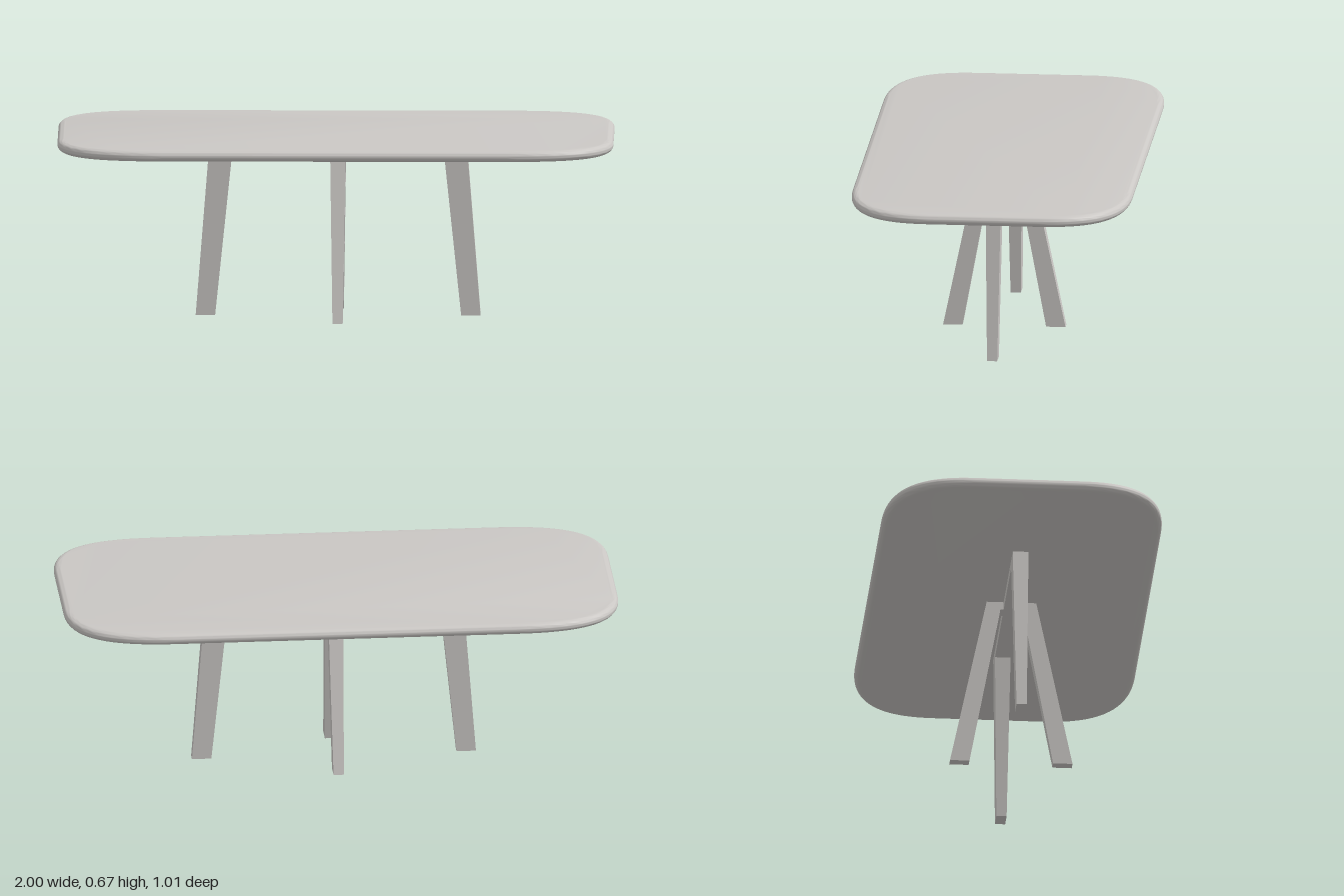
import * as THREE from 'three';
import { toCreasedNormals } from 'three/addons/utils/BufferGeometryUtils.js';

const LEG_TOP = 0.63, BEAM_BOTTOM = 0.6;

// Rounded slab with soft, nearly square corners and a bullnose edge
function tabletopGeometry() {
  const w = 1, d = 0.505, sx = 0.62, sz = 0.2, hx = 0.85, hz = 0.43;
  const s = new THREE.Shape();
  s.moveTo(sx, -d);
  s.bezierCurveTo(hx, -d, w, -hz, w, -sz);
  s.lineTo(w, sz);
  s.bezierCurveTo(w, hz, hx, d, sx, d);
  s.lineTo(-sx, d);
  s.bezierCurveTo(-hx, d, -w, hz, -w, sz);
  s.lineTo(-w, -sz);
  s.bezierCurveTo(-w, -hz, -hx, -d, -sx, -d);
  s.closePath();
  const g = new THREE.ExtrudeGeometry(s, {
    depth: 0.002, curveSegments: 18, bevelEnabled: true,
    bevelThickness: 0.019, bevelSize: 0.024, bevelOffset: -0.024, bevelSegments: 8,
  });
  g.rotateX(-Math.PI / 2).translate(0, 0.647, 0);
  return toCreasedNormals(g, 0.6);
}

// Two splayed legs joined by a beam, thinning in depth towards the floor
function legFrameGeometry(outerTop, outerFoot, innerFoot, innerTop) {
  const right = [[outerFoot, 0], [outerTop, LEG_TOP]];
  const left = [[-outerTop, LEG_TOP], [-outerFoot, 0], [-innerFoot, 0], [-innerTop, BEAM_BOTTOM]];
  const inner = [[innerTop, BEAM_BOTTOM], [innerFoot, 0]];
  const points = [...right, ...left, ...inner].map(([x, y]) => new THREE.Vector2(x, y));
  const g = new THREE.ExtrudeGeometry(new THREE.Shape(points), { depth: 1, bevelEnabled: false });
  const p = g.attributes.position;
  for (let i = 0; i < p.count; i++) {
    const half = 0.0185 + 0.01 * p.getY(i) / LEG_TOP;
    p.setZ(i, p.getZ(i) > 0.5 ? half : -half);
  }
  g.computeVertexNormals();
  return g;
}

export function createModel() {
  const group = new THREE.Group();
  const material = new THREE.MeshStandardMaterial({ color: 0xcac7c4 });
  material.name = 'warm light grey';

  const add = (name, geometry) => {
    const mesh = new THREE.Mesh(geometry, material);
    mesh.name = name;
    group.add(mesh);
    return mesh;
  };

  add('tabletop', tabletopGeometry());

  // Long frame runs left to right, short frame crosses it front to back
  const long = add('sideLegFrame', legFrameGeometry(0.4625, 0.5125, 0.4425, 0.38));
  const short = add('frontBackLegFrame', legFrameGeometry(0.089, 0.221, 0.151, 0.04));
  short.rotation.y = Math.PI / 2;
  for (const frame of [long, short]) frame.position.set(0.008, 0, 0.011);

  return group;
}
